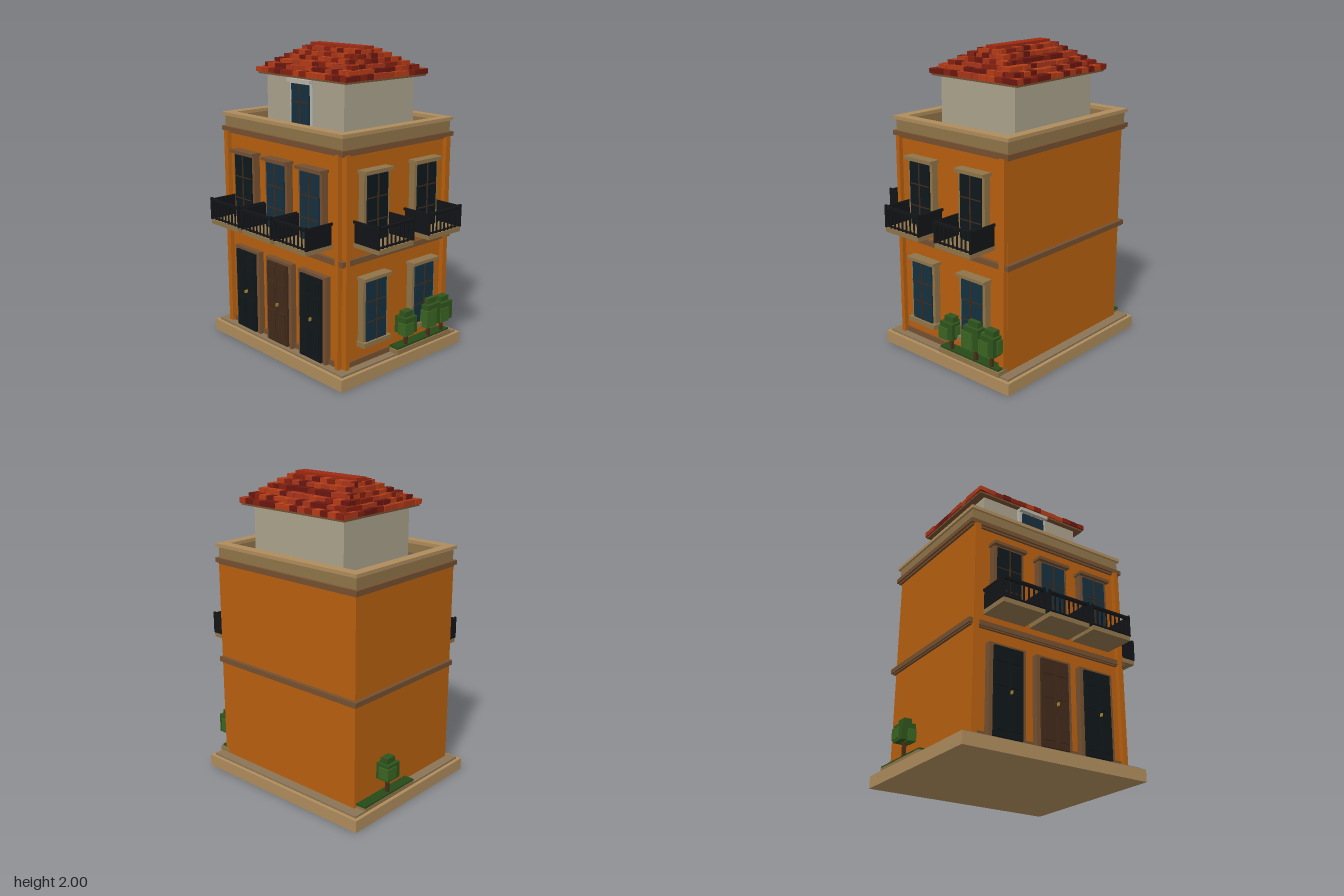
import * as THREE from 'three';

const COLORS = {
  orange: 0xb8600f, tan: 0xae8c5c, slab: 0x8a7456, brown: 0x755030, stone: 0x8f7449,
  floor: 0x64564a, attic: 0xaaa28c, white: 0xb9b5aa, black: 0x10161a, iron: 0x121417,
  glass: 0x15303f, dark: 0x0e181c, wood: 0x422a1a, gold: 0xa8842c, trunk: 0x4a2e1a,
  leafA: 0x2f541c, leafB: 0x3a6422, hedge: 0x264a18,
  tileA: 0xa8351a, tileB: 0x85200f, tileC: 0xb53c16, tileD: 0x6a1710, ridge: 0xa02a12,
};
const materials = {};
const mat = (key) => (materials[key] ??= new THREE.MeshStandardMaterial({ color: COLORS[key], flatShading: true }));
const unitBox = new THREE.BoxGeometry(1, 1, 1);

// Box given by its min and max on each axis
function box(parent, name, key, [x0, x1], [y0, y1], [z0, z1]) {
  const m = new THREE.Mesh(unitBox, mat(key));
  m.name = name;
  m.scale.set(x1 - x0, y1 - y0, z1 - z0);
  m.position.set((x0 + x1) / 2, (y0 + y1) / 2, (z0 + z1) / 2);
  parent.add(m);
  return m;
}
function group(parent, name, x = 0, y = 0, z = 0) {
  const g = new THREE.Group();
  g.name = name;
  g.position.set(x, y, z);
  parent.add(g);
  return g;
}
let seed = 7;
const rand = () => ((seed = (seed * 16807) % 2147483647) / 2147483647);

const CX = -0.058, CZ = -0.067;          // centre of the building
const HX = 0.562, HZ = 0.457;            // half size of the walls

// Block centred on the building
const tier = (p, name, key, hx, hz, y0, y1) =>
  box(p, name, key, [CX - hx, CX + hx], [y0, y1], [CZ - hz, CZ + hz]);

// Four walls around an open middle
function ring(p, name, key, hx, hz, t, y0, y1) {
  const g = group(p, name, CX, 0, CZ);
  for (const s of [-1, 1]) {
    const zs = [s * hz, s * (hz - t)].sort((a, b) => a - b);
    const xs = [s * hx, s * (hx - t)].sort((a, b) => a - b);
    box(g, name + 'Long', key, [-hx, hx], [y0, y1], zs);
    box(g, name + 'Short', key, xs, [y0, y1], [-hz + t, hz - t]);
  }
}

// Side and top frame around an opening
function frame(g, key, w, t, y0, y1, d) {
  for (const s of [-1, 1]) {
    const xs = [s * w, s * (w + t)].sort((a, b) => a - b);
    box(g, 'jamb', key, xs, [y0, y1], [0, d]);
  }
  box(g, 'head', key, [-w - t, w + t], [y1, y1 + t * 0.7], [0, d]);
}

function windowUnit(p, x, y0, y1, glass, frameKey, sill) {
  const g = group(p, 'window', x);
  frame(g, frameKey, 0.085, 0.022, y0, y1, 0.045);
  box(g, 'pane', glass, [-0.085, 0.085], [y0, y1], [0, 0.055]);
  box(g, 'mullion', 'wood', [-0.004, 0.004], [y0, y1], [0.05, 0.06]);
  for (const f of [0.33, 0.67]) {
    const y = y0 + (y1 - y0) * f;
    box(g, 'glazingBar', 'wood', [-0.085, 0.085], [y - 0.003, y + 0.003], [0.05, 0.059]);
  }
  box(g, 'lintel', frameKey, [-0.118, 0.118], [y1 + 0.013, y1 + 0.033], [0, 0.072]);
  if (sill) box(g, 'sill', frameKey, [-0.118, 0.118], [y0 - 0.032, y0], [0, 0.07]);
}

function door(p, x, key) {
  const g = group(p, 'door', x);
  frame(g, 'brown', 0.1, 0.027, 0.09, 0.645, 0.04);
  for (const s of [-1, 1]) {
    const leaf = group(g, 'doorLeaf', s * 0.05);
    box(leaf, 'leaf', key, [-0.0485, 0.0485], [0.1, 0.645], [0, 0.055]);
    for (const [a, b] of [[0.14, 0.32], [0.4, 0.52], [0.55, 0.62]])
      box(leaf, 'doorPanel', key, [-0.034, 0.034], [a, b], [0.05, 0.062]);
  }
  box(g, 'handle', 'gold', [0.008, 0.016], [0.36, 0.38], [0.05, 0.075]);
}

function balcony(p, x, y, depth) {
  const g = group(p, 'balcony', x, y);
  box(g, 'balconySlab', 'stone', [-0.147, 0.147], [0, 0.03], [0, depth]);
  const f = depth - 0.012;
  box(g, 'topRail', 'iron', [-0.152, 0.152], [0.15, 0.166], [f - 0.006, depth + 0.003]);
  box(g, 'bottomRail', 'iron', [-0.147, 0.147], [0.036, 0.044], [f - 0.003, depth]);
  for (let i = 0; i <= 8; i++) {
    const bx = -0.14 + i * 0.035;
    box(g, 'baluster', 'iron', [bx - 0.004, bx + 0.004], [0.03, 0.15], [f, f + 0.008]);
  }
  for (const s of [-1, 1]) {
    const e = s * 0.146;
    box(g, 'sideRailing', 'iron', [e - 0.004, e + 0.004], [0.03, 0.15], [0.01, depth]);
    box(g, 'sideTopRail', 'iron', [e - 0.006, e + 0.006], [0.15, 0.166], [0, depth]);
    box(g, 'cornerPost', 'iron', [e - 0.006, e + 0.006], [0.03, 0.175], [f - 0.002, depth + 0.002]);
  }
}

// Blocky tree
function tree(p, x, z, r, top) {
  const g = group(p, 'tree', x, 0, z);
  box(g, 'trunk', 'trunk', [-0.01, 0.01], [0.1, 0.25], [-0.01, 0.01]);
  box(g, 'crown', 'leafA', [-0.048, 0.048], [0.215, top - 0.035], [-r * 0.85, r * 0.85]);
  box(g, 'crownTop', 'leafA', [-0.026, 0.026], [top - 0.05, top], [-r * 0.6, r * 0.55]);
  box(g, 'crownFront', 'leafB', [-0.01, 0.055], [0.21, top - 0.07], [-r * 0.25, r]);
  box(g, 'crownBack', 'leafB', [-0.055, 0.02], [0.23, top - 0.055], [-r, r * 0.3]);
}

// Hipped roof of overlapping tile courses
function buildRoof(p) {
  const g = group(p, 'roof', CX, 0, -0.116);
  const keys = ['tileA', 'tileB', 'tileC', 'tileD'];
  box(g, 'eaves', 'brown', [-0.42, 0.42], [1.805, 1.822], [-0.35, 0.35]);
  for (let row = 0; row < 6; row++) {
    const hx = 0.43 - row * 0.03, hz = 0.362 - row * 0.053, y = 1.818 + row * 0.0265;
    box(g, 'roofCore', 'tileD', [-hx + 0.012, hx - 0.012], [y, y + 0.027], [-hz + 0.012, hz - 0.012]);
    for (const alongX of [true, false]) {
      const len = alongX ? hx : hz, out = alongX ? hz : hx, depth = alongX ? 0.065 : 0.05;
      const n = Math.max(2, Math.round((2 * len) / 0.06)), w = (2 * len) / n;
      for (const s of [-1, 1]) {
        for (let i = 0; i <= n; i++) {
          // Every other course is shifted by half a tile
          const shift = row % 2 ? 0.5 : 0;
          const a = Math.max(-len, -len + (i - shift) * w), b = Math.min(len, -len + (i + 1 - shift) * w);
          if (b - a < 0.005) continue;
          const o = out - rand() * 0.008, h = 0.029 + rand() * 0.006;
          const across = [s * o, s * (o - depth)].sort((m, k) => m - k);
          const along = [a + 0.001, b - 0.001];
          box(g, 'roofTile', keys[Math.floor(rand() * 4)],
            alongX ? along : across, [y, y + h], alongX ? across : along);
        }
      }
    }
  }
  box(g, 'ridgeCap', 'ridge', [-0.253, 0.253], [1.965, 2], [-0.043, 0.043]);
}

export function createModel() {
  const root = new THREE.Group();
  root.name = 'townHouse';

  // Base and walls
  tier(root, 'baseSlab', 'tan', 0.652, 0.547, 0, 0.078);
  tier(root, 'pavement', 'slab', 0.628, 0.523, 0.07, 0.09);
  tier(root, 'walls', 'orange', HX, HZ, 0.08, 1.46);
  tier(root, 'floorBand', 'brown', 0.588, 0.483, 0.758, 0.79);
  tier(root, 'floorBandLip', 'brown', 0.578, 0.473, 0.75, 0.76);
  tier(root, 'cornice', 'brown', 0.59, 0.485, 1.43, 1.458);
  tier(root, 'corniceLip', 'brown', 0.577, 0.472, 1.418, 1.432);

  // Roof terrace
  tier(root, 'terraceFloor', 'floor', 0.55, 0.45, 1.45, 1.468);
  ring(root, 'parapet', 'stone', 0.572, 0.467, 0.045, 1.455, 1.53);
  ring(root, 'parapetCap', 'tan', 0.586, 0.482, 0.067, 1.53, 1.552);

  // Front face
  const front = group(root, 'frontFace', 0, 0, CZ + HZ);
  const columns = [-0.388, -0.058, 0.267];
  columns.forEach((x, i) => {
    door(front, x, i === 1 ? 'wood' : 'black');
    windowUnit(front, x, 0.87, 1.292, i === 0 ? 'dark' : 'glass', 'brown', false);
    balcony(front, x, 0.842, 0.212);
  });
  box(front, 'pilaster', 'orange', [-0.62, -0.582], [0.09, 1.43], [0, 0.032]);
  box(front, 'pilaster', 'orange', [0.467, 0.496], [0.09, 1.43], [0, 0.032]);
  for (const xs of [[-0.58, -0.515], [-0.261, -0.185], [0.069, 0.14], [0.394, 0.467]])
    box(front, 'skirting', 'brown', xs, [0.085, 0.125], [0, 0.012]);

  // Left face: local x runs toward the back
  const side = group(root, 'sideFace', CX + HX);
  side.rotation.y = Math.PI / 2;
  for (const x of [-0.155, 0.28]) {
    windowUnit(side, x, 0.245, 0.63, 'glass', 'stone', true);
    windowUnit(side, x, 0.88, 1.292, 'dark', 'stone', false);
    balcony(side, x, 0.857, 0.212);
  }
  box(side, 'pilaster', 'orange', [-0.389, -0.361], [0.09, 1.43], [0, 0.03]);
  box(side, 'pilaster', 'orange', [0.482, 0.522], [0.09, 1.43], [0, 0.03]);
  box(side, 'skirting', 'brown', [-0.361, 0.482], [0.085, 0.125], [0, 0.012]);

  // Attic room with its door
  box(root, 'atticWalls', 'attic', [-0.426, 0.31], [1.46, 1.81], [-0.407, 0.2]);
  const attic = group(root, 'atticDoor', CX, 0, 0.2);
  frame(attic, 'white', 0.083, 0.024, 1.468, 1.77, 0.025);
  box(attic, 'pane', 'glass', [-0.083, 0.083], [1.468, 1.77], [0, 0.035]);
  box(attic, 'mullion', 'wood', [-0.004, 0.004], [1.468, 1.77], [0.03, 0.04]);
  box(attic, 'glazingBar', 'wood', [-0.083, 0.083], [1.655, 1.661], [0.03, 0.039]);
  box(attic, 'lintel', 'white', [-0.108, 0.108], [1.78, 1.803], [0, 0.052]);
  box(attic, 'doorStep', 'white', [-0.118, 0.118], [1.468, 1.5], [0, 0.075]);
  buildRoof(root);

  // Planting beds and trees
  const garden = group(root, 'garden');
  box(garden, 'leftBed', 'stone', [0.504, 0.585], [0.085, 0.118], [-0.525, -0.012]);
  box(garden, 'leftHedge', 'hedge', [0.504, 0.577], [0.115, 0.13], [-0.515, -0.02]);
  box(garden, 'rightBed', 'stone', [-0.692, -0.62], [0.085, 0.108], [-0.507, -0.03]);
  box(garden, 'rightHedge', 'hedge', [-0.69, -0.62], [0.105, 0.118], [-0.507, -0.03]);
  tree(garden, 0.562, -0.11, 0.062, 0.36);
  tree(garden, 0.565, -0.322, 0.073, 0.395);
  tree(garden, 0.562, -0.452, 0.064, 0.375);
  tree(garden, -0.665, -0.265, 0.065, 0.357);
  return root;
}
